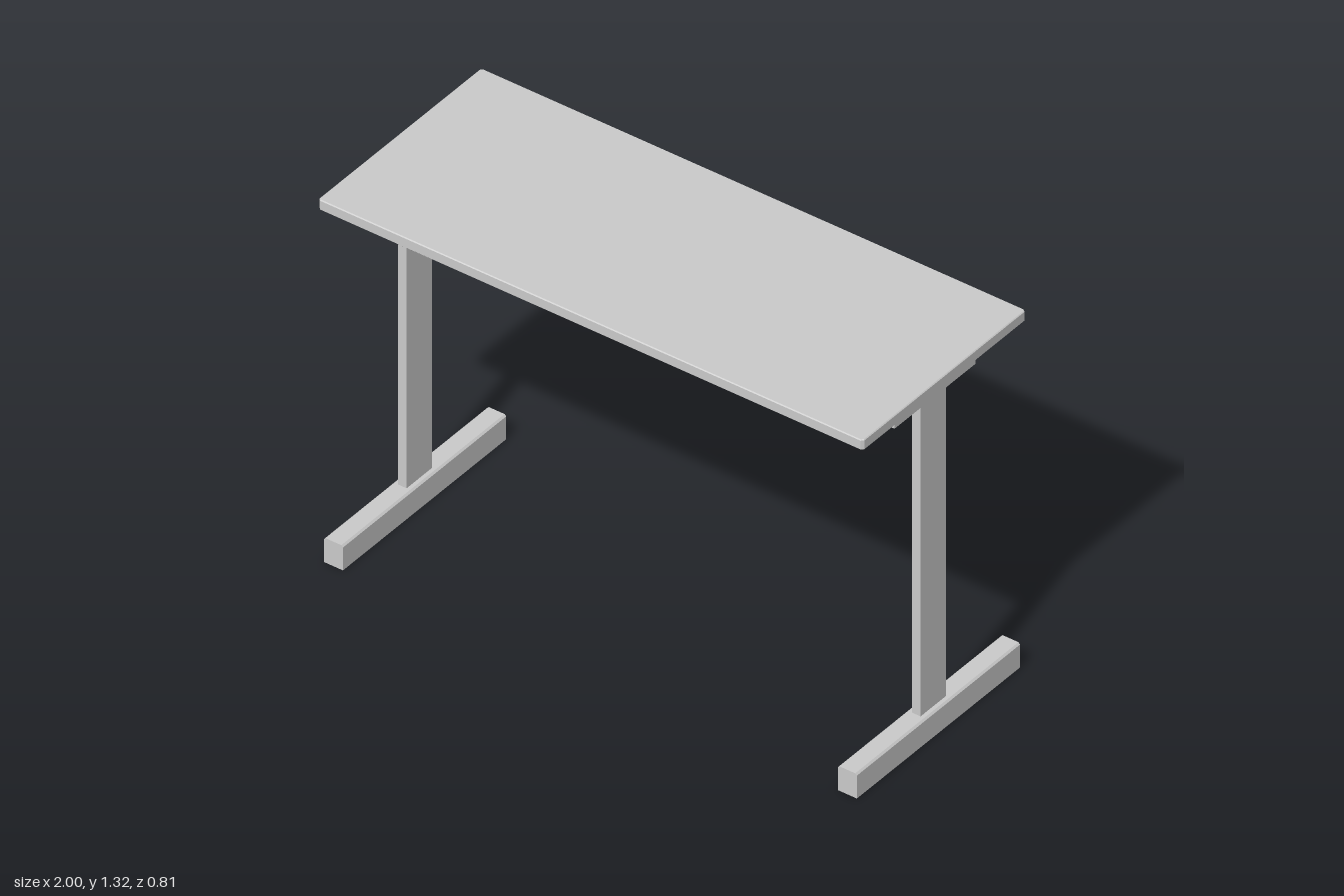
import * as THREE from 'three';

const material = new THREE.MeshStandardMaterial({ color: 0xcccccc, flatShading: true });

// Extrude a cross-section drawn in x/y along z, centred on z = 0
function extrude(shape, length, bevel = 0) {
  const geometry = new THREE.ExtrudeGeometry(shape, {
    depth: length - 2 * bevel,
    bevelEnabled: bevel > 0,
    bevelSize: bevel,
    bevelThickness: bevel,
    bevelOffset: -bevel,
    bevelSegments: 1,
    curveSegments: 3,
  });
  return geometry.translate(0, 0, -length / 2 + bevel);
}

// Inverted U section with chamfered upper corners, base at y = 0
function channelShape(w, h, wall, chamfer) {
  const a = w / 2, b = a - wall;
  return new THREE.Shape([
    [-a, 0], [-b, 0], [-b, h - wall], [b, h - wall], [b, 0], [a, 0],
    [a, h - chamfer], [a - chamfer, h], [-a + chamfer, h], [-a, h - chamfer],
  ].map(([x, y]) => new THREE.Vector2(x, y)));
}

function add(parent, name, geometry, x, y, z) {
  const mesh = new THREE.Mesh(geometry, material);
  mesh.name = name;
  mesh.position.set(x, y, z);
  parent.add(mesh);
  return mesh;
}

// Hollow rail, open underneath, closed at both ends
function addRail(parent, name, w, h, length, y, chamfer) {
  const wall = 0.004;
  const rail = new THREE.Group();
  rail.name = name;
  rail.position.y = y;
  add(rail, name + 'Shell', extrude(channelShape(w, h, wall, chamfer), length), 0, 0, 0);
  for (const s of [-1, 1]) {
    add(rail, name + 'EndCap', new THREE.BoxGeometry(w - 2 * wall, h - wall, wall),
      0, (h - wall) / 2, s * (length - wall) / 2);
  }
  parent.add(rail);
}

export function createModel() {
  const group = new THREE.Group();
  group.name = 'table';

  // Tabletop with slightly eased corners and edges
  const c = 0.008, X = 1, Z = 0.403;
  const outline = new THREE.Shape([
    [-X + c, -Z], [X - c, -Z], [X, -Z + c], [X, Z - c],
    [X - c, Z], [-X + c, Z], [-X, Z - c], [-X, -Z + c],
  ].map(([x, y]) => new THREE.Vector2(x, y)));
  const top = extrude(outline, 0.038, 0.003).rotateX(-Math.PI / 2);
  add(group, 'tabletop', top, 0, 1.304, 0);

  // Cross beam under the top, open underneath
  const beam = extrude(channelShape(0.064, 0.113, 0.006, 0.002), 1.85).rotateY(Math.PI / 2);
  add(group, 'crossBeam', beam, 0, 1.172, 0);

  // Foot, column and top bracket on each side
  for (const side of [-1, 1]) {
    const leg = new THREE.Group();
    leg.name = side > 0 ? 'leftLeg' : 'rightLeg';
    leg.position.x = side * 0.943;
    addRail(leg, 'foot', 0.07, 0.09, 0.806, 0, 0.006);
    add(leg, 'column', new THREE.BoxGeometry(0.032, 1.2, 0.126), 0, 0.685, 0);
    addRail(leg, 'bracket', 0.045, 0.055, 0.4, 1.231, 0.002);
    group.add(leg);
  }
  return group;
}
